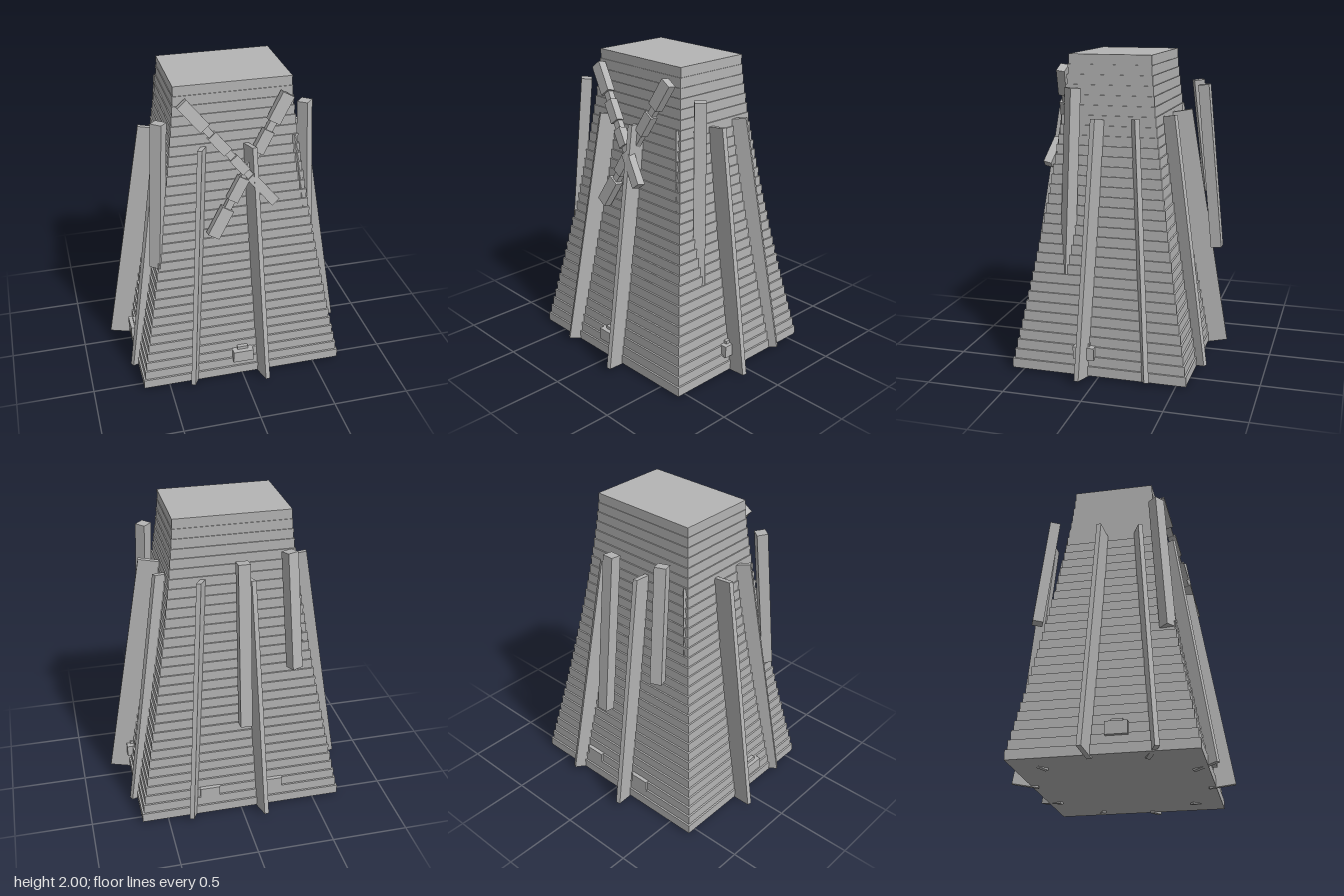
import * as THREE from 'three';

const stone = new THREE.MeshStandardMaterial({ color: 0xb4b4b4 });
stone.name = 'plain grey';

export function createModel() {
  const model = new THREE.Group();
  model.name = 'steppedTower';

  const addGroup = (name) => {
    const group = new THREE.Group();
    group.name = name;
    model.add(group);
    return group;
  };

  const addBox = (parent, name, size, position) => {
    const mesh = new THREE.Mesh(new THREE.BoxGeometry(...size), stone);
    mesh.name = name;
    mesh.position.set(...position);
    parent.add(mesh);
    return mesh;
  };

  // Beam leaning inward, anchored at its outer bottom edge, facing angle degrees from +x to +z
  const addBeam = (parent, name, [width, length, depth], [x, y, z], angle, tilt) => {
    const geometry = new THREE.BoxGeometry(depth, length, width).translate(-depth / 2, length / 2, 0);
    const mesh = new THREE.Mesh(geometry, stone);
    mesh.name = name;
    mesh.position.set(x, y, z);
    mesh.rotation.set(0, -THREE.MathUtils.degToRad(angle), tilt);
    parent.add(mesh);
  };

  // Tower body: stacked courses, shrinking less towards the top
  const tower = addGroup('towerBody');
  const courses = 32;
  const base = 0.015;
  const step = (2 - base) / courses;
  for (let i = 0; i < courses; i++) {
    const f = Math.pow(1 - i / (courses - 1), 1.25);
    const size = [2 * (0.37 + 0.302 * f), step, 2 * (0.265 + 0.302 * f)];
    addBox(tower, 'course', size, [0, base + (i + 0.5) * step, 0]);
  }

  // Ten long buttresses around an ellipse
  const buttresses = addGroup('buttresses');
  for (let i = 0; i < 10; i++) {
    const angle = 8 + i * 36;
    const a = THREE.MathUtils.degToRad(angle);
    const foot = [0.81 * Math.cos(a), 0.03, 0.7 * Math.sin(a)];
    addBeam(buttresses, 'buttress', [0.03, 1.617, 0.17], foot, angle, 0.165);
  }

  // Four hanging beams: inner top point, facing angle, bottom height, outward lean
  const hanging = addGroup('hangingBeams');
  const top = 1.805;
  for (const [x, z, angle, bottom, lean] of [
    [0, -0.487, 270, 0.735, 0.105],
    [-0.3, -0.39, 248, 1.04, 0.09],
    [0.45, 0.18, 43, 0.635, 0.055],
    [-0.447, 0.28, 128, 0.845, 0.085],
  ]) {
    const a = THREE.MathUtils.degToRad(angle);
    const reach = 0.07 + lean;
    const foot = [x + reach * Math.cos(a), bottom, z + reach * Math.sin(a)];
    addBeam(hanging, 'hangingBeam', [0.075, top - bottom, 0.07], foot, angle, Math.atan(lean / (top - bottom)));
  }

  // Crossed bars on the front, each a thin spar with thicker sleeves
  const cross = addGroup('frontCross');
  const addBar = (from, to, sleeves) => {
    const bar = new THREE.Group();
    bar.name = 'crossBar';
    const start = new THREE.Vector3(...from);
    const axis = new THREE.Vector3(...to).sub(start);
    const length = axis.length();
    const yAxis = axis.normalize();
    const xAxis = new THREE.Vector3().crossVectors(yAxis, new THREE.Vector3(0, 0.17, 1)).normalize();
    const zAxis = new THREE.Vector3().crossVectors(xAxis, yAxis);
    bar.quaternion.setFromRotationMatrix(new THREE.Matrix4().makeBasis(xAxis, yAxis, zAxis));
    bar.position.copy(start);
    addBox(bar, 'spar', [0.045, length * 0.98, 0.04], [0, length / 2, 0]);
    for (const [a, b, width] of sleeves) {
      addBox(bar, 'sleeve', [width, (b - a) * length, 0.055], [0, (a + b) / 2 * length, 0.006]);
    }
    cross.add(bar);
  };
  addBar([-0.33, 1.91, 0.31], [0.215, 1.265, 0.465],
    [[0, 0.24, 0.075], [0.31, 0.48, 0.065], [0.54, 0.68, 0.06], [0.73, 1, 0.06]]);
  addBar([0.325, 1.91, 0.315], [-0.17, 1.045, 0.425],
    [[0, 0.19, 0.08], [0.25, 0.4, 0.07], [0.58, 0.74, 0.07], [0.8, 1, 0.08]]);

  // Small ledges near the foot, two of them nearly flush on the back
  const ledges = addGroup('ledges');
  addBox(ledges, 'frontLedge', [0.135, 0.08, 0.08], [0, 0.165, 0.545]);
  addBox(ledges, 'frontLedgeCap', [0.07, 0.02, 0.05], [0, 0.215, 0.53]);
  for (const side of [-1, 1]) {
    addBox(ledges, 'sideLedge', [0.08, 0.08, 0.135], [side * 0.645, 0.165, 0.088]);
    addBox(ledges, 'sideLedgeCap', [0.05, 0.02, 0.07], [side * 0.635, 0.215, 0.088]);
    addBox(ledges, 'backLedge', [0.13, 0.08, 0.06], [side * 0.213, 0.165, -0.527]);
  }

  return model;
}
